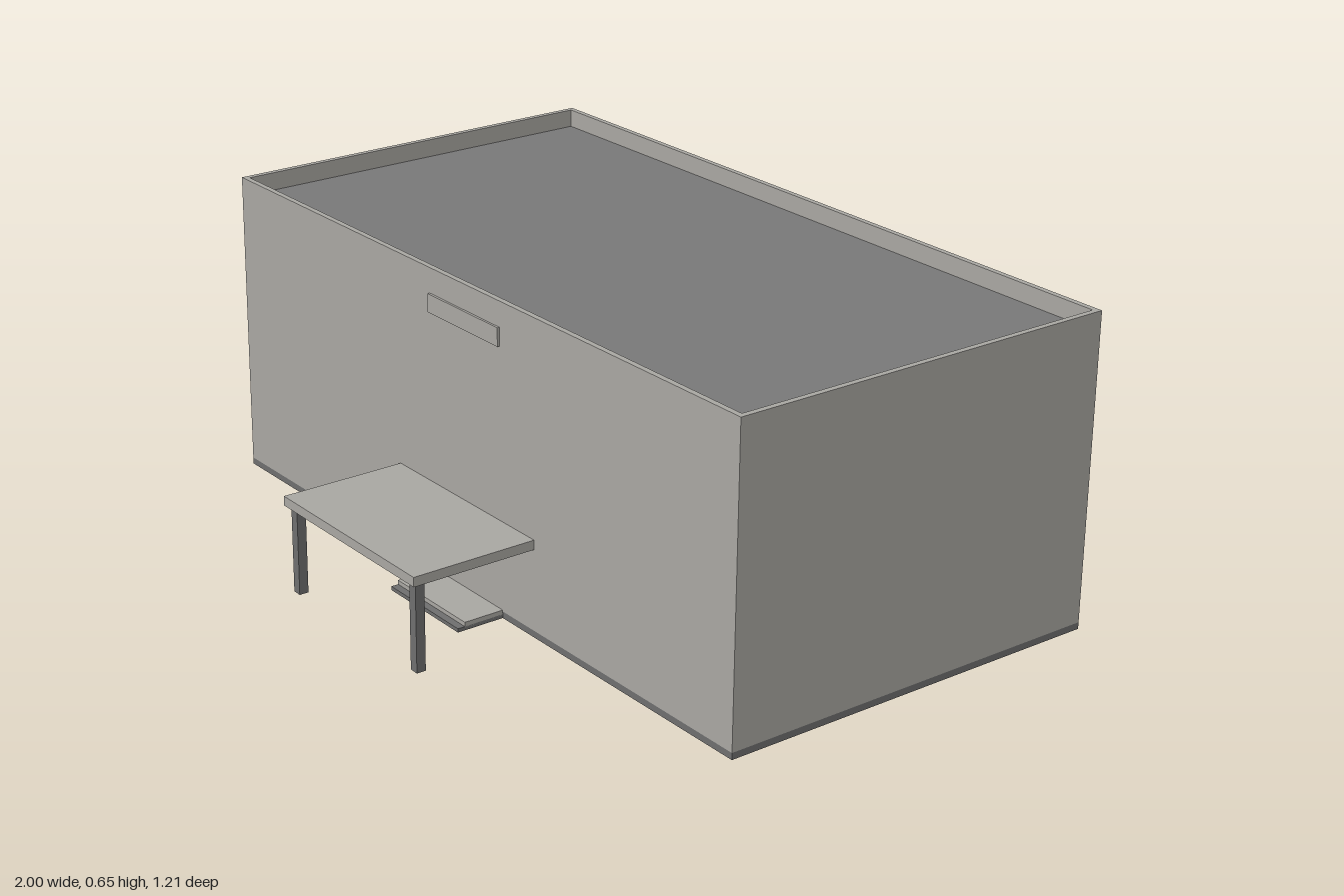
import * as THREE from 'three';

const material = (name, color) => {
  const m = new THREE.MeshStandardMaterial({ color });
  m.name = name;
  return m;
};

export function createModel() {
  const group = new THREE.Group();
  const light = material('light concrete', 0xaba9a4);
  const roofGrey = material('roof grey', 0x7a7a7a);
  const dark = material('dark grey', 0x707070);

  // Main hall footprint
  const X0 = -0.62, X1 = 1, Z0 = -0.525, Z1 = 0.335, T = 0.012;

  // Box given by its two extreme corners
  const box = (name, mat, [x0, y0, z0], [x1, y1, z1], parent = group) => {
    const mesh = new THREE.Mesh(new THREE.BoxGeometry(x1 - x0, y1 - y0, z1 - z0), mat);
    mesh.position.set((x0 + x1) / 2, (y0 + y1) / 2, (z0 + z1) / 2);
    mesh.name = name;
    parent.add(mesh);
  };

  // Hollow rectangular band of wall between two heights
  const rect = (PathType, inset) => {
    const a = X0 + inset, b = X1 - inset, c = -Z1 + inset, d = -Z0 - inset;
    return new PathType([[a, c], [b, c], [b, d], [a, d]].map(p => new THREE.Vector2(...p)));
  };
  const band = (name, mat, y0, y1) => {
    const shape = rect(THREE.Shape, 0);
    shape.holes.push(rect(THREE.Path, T));
    const geo = new THREE.ExtrudeGeometry(shape, { depth: y1 - y0, bevelEnabled: false });
    geo.rotateX(-Math.PI / 2);
    const mesh = new THREE.Mesh(geo, mat);
    mesh.position.y = y0;
    mesh.name = name;
    group.add(mesh);
  };

  band('plinth', dark, 0, 0.014);
  band('walls', light, 0.014, 0.65);
  box('roof', roofGrey, [X0 + T, 0.605, Z0 + T], [X1 - T, 0.612, Z1 - T]);

  // Canopy slab carried by two posts
  const canopy = (name, min, max, posts) => {
    const part = new THREE.Group();
    part.name = name;
    box('canopySlab', light, min, max, part);
    for (const [x, z] of posts) {
      box('canopyPost', dark, [x - 0.01, 0, z - 0.01], [x + 0.01, min[1], z + 0.01], part);
    }
    group.add(part);
  };
  canopy('frontCanopy', [-0.038, 0.184, 0.315], [0.413, 0.204, 0.607], [[-0.018, 0.587], [0.393, 0.587]]);
  canopy('sideCanopy', [-1, 0.219, -0.455], [-0.6, 0.239, 0.04], [[-0.975, -0.435], [-0.975, 0.02]]);

  // Doorsteps: light tread above a dark lower lip
  box('frontStep', light, [0.08, 0.006, Z1], [0.31, 0.017, 0.424]);
  box('frontStepLip', dark, [0.08, 0, Z1], [0.31, 0.008, 0.44]);
  box('sideStep', light, [-0.716, 0.006, -0.29], [X0, 0.017, -0.11]);
  box('sideStepLip', dark, [-0.732, 0, -0.29], [X0, 0.008, -0.11]);
  box('backStep', light, [-0.502, 0.006, -0.594], [-0.415, 0.017, Z0]);
  box('backStepLip', dark, [-0.498, 0, -0.608], [-0.419, 0.008, Z0]);

  // Thin panels above the entrances
  box('frontPanel', light, [0.075, 0.56, Z1], [0.305, 0.598, Z1 + 0.005]);
  box('sidePanel', light, [X0 - 0.005, 0.542, -0.045], [X0, 0.58, 0.135]);

  return group;
}
